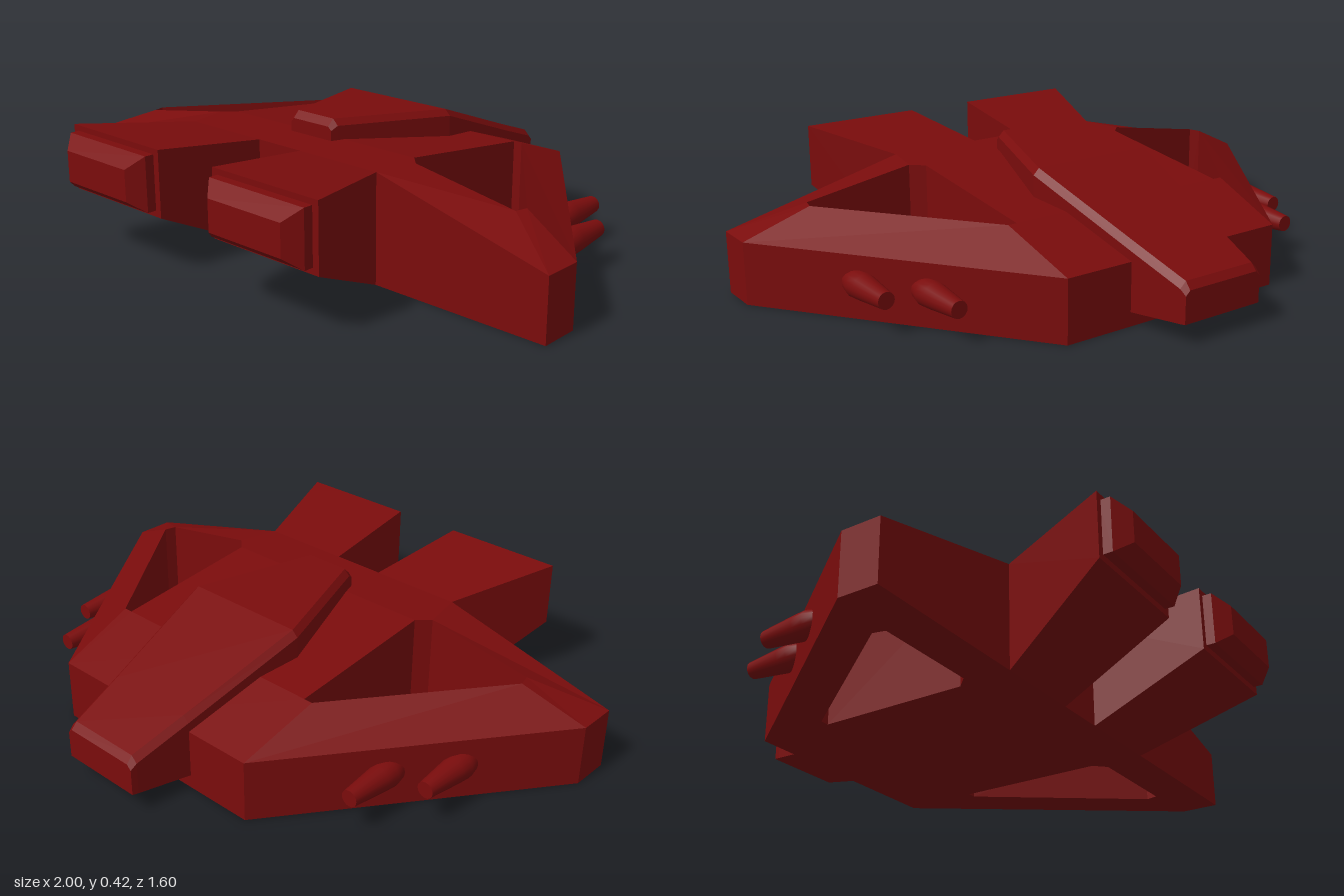
import * as THREE from 'three';

const red = new THREE.MeshStandardMaterial({ color: 0x7a0c0c, flatShading: true });
const redSmooth = new THREE.MeshStandardMaterial({ color: 0x7a0c0c });

// Flat-shaded geometry from a list of convex polygons (counter-clockwise from outside)
function fromFaces(faces) {
  const pos = [];
  for (const f of faces)
    for (let i = 1; i < f.length - 1; i++) pos.push(...f[0], ...f[i], ...f[i + 1]);
  const g = new THREE.BufferGeometry();
  g.setAttribute('position', new THREE.Float32BufferAttribute(pos, 3));
  g.computeVertexNormals();
  return g;
}

const mirrorFaces = faces => faces.map(f => f.map(([x, y, z]) => [-x, y, z]).reverse());

// Skin between matching rings, ordered along +z
function loft(rings, startCap = true) {
  const faces = [], n = rings[0].length;
  for (let i = 0; i < rings.length - 1; i++)
    for (let j = 0; j < n; j++) {
      const k = (j + 1) % n;
      faces.push([rings[i][j], rings[i][k], rings[i + 1][k], rings[i + 1][j]]);
    }
  if (startCap) faces.push([...rings[0]].reverse());
  faces.push(rings[rings.length - 1]);
  return faces;
}

const rect = (x0, x1, y0, y1, z) => [[x0, y0, z], [x1, y0, z], [x1, y1, z], [x0, y1, z]];

// Half of the hull: top corners, with the wing opening h1..h6
function hullFaces() {
  const P = {
    a: [0, 0.2, -0.6], b: [0.4, 0.2, -0.6], c: [1, 0.2, 0.22], d: [1, 0.2, 0.35],
    e: [0.4, 0.35, 0.35], p: [0.09, 0.35, 0.35], f: [0, 0.35, 0.35],
    g: [0, 0.29, -0.34], k: [0, 0.35, 0.17],
    h1: [0.39, 0.29, -0.34], h2: [0.42, 0.29, -0.34], h3: [0.8, 0.29, 0.17],
    h4: [0.79, 0.29, 0.21], h5: [0.43, 0.35, 0.21], h6: [0.39, 0.35, 0.17],
  };
  const panels = ['a b h1 g', 'b h2 h1', 'b c h3 h2', 'c d h4 h3', 'd e h5 h4', 'e f k h6 h5', 'h1 h6 k g'];
  const walls = ['a b c d e', 'p f', 'h1 h6 h5 h4 h3 h2 h1'];
  const down = ([x, , z]) => [x, 0, z];
  const faces = [];
  for (const s of panels) {
    const q = s.split(' ').map(n => P[n]);
    faces.push([...q].reverse(), q.map(down));
  }
  for (const s of walls) {
    const q = s.split(' ').map(n => P[n]);
    for (let i = 0; i < q.length - 1; i++) faces.push([q[i], q[i + 1], down(q[i + 1]), down(q[i])]);
  }
  return faces;
}

export function createModel() {
  const model = new THREE.Group();
  const add = (name, geometry, material = red) => {
    const m = new THREE.Mesh(geometry, material);
    m.name = name;
    model.add(m);
    return m;
  };

  // Hull with open triangular wings
  const half = hullFaces();
  add('hull', fromFaces([...half, ...mirrorFaces(half)]));

  // Raised central fuselage with chamfered top edges: [z, half width, bottom, top, chamfer]
  const sections = [
    [-0.8, 0.143, 0.065, 0.165, 0.015], [-0.78, 0.147, 0.063, 0.187, 0.02],
    [-0.6, 0.172, 0.045, 0.25, 0.02], [-0.2, 0.23, 0.045, 0.395, 0.02],
    [0.19, 0.096, 0.05, 0.416, 0.02], [0.212, 0.088, 0.05, 0.394, 0.012],
  ];
  add('fuselage', fromFaces(loft(sections.map(([z, w, b, t, c]) =>
    [[-w, b, z], [w, b, z], [w, t - c, z], [w - c, t, z], [c - w, t, z], [-w, t - c, z]]))));

  // Splayed booms and their bevelled end blocks
  const boom = loft([rect(0.09, 0.4, 0, 0.35, 0.35), rect(0.12, 0.535, 0.18, 0.393, 0.725)], false);
  const block = loft([
    rect(0.142, 0.513, 0.2, 0.375, 0.72), rect(0.142, 0.513, 0.2, 0.375, 0.755),
    rect(0.185, 0.47, 0.235, 0.335, 0.8),
  ]);
  for (const [side, flip] of [['left', f => f], ['right', mirrorFaces]]) {
    add(side + 'Boom', fromFaces(flip(boom)));
    add(side + 'BoomEnd', fromFaces(flip(block)));
  }

  // Two tapered barrels set into each slanted wing edge
  const profile = [[0, 0], [0.022, 0.008], [0.036, 0.025], [0.044, 0.06], [0.041, 0.1], [0.027, 0.23], [0.027, 0.23], [0, 0.23]]
    .map(([r, l]) => new THREE.Vector2(r, l));
  const barrel = new THREE.LatheGeometry(profile, 16).rotateX(-Math.PI / 2);
  for (const s of [1, -1])
    for (const [name, x, z] of [['Outer', 0.775, -0.018], ['Inner', 0.645, -0.197]])
      add((s > 0 ? 'left' : 'right') + name + 'Barrel', barrel, redSmooth).position.set(s * x, 0.11, z);

  return model;
}
